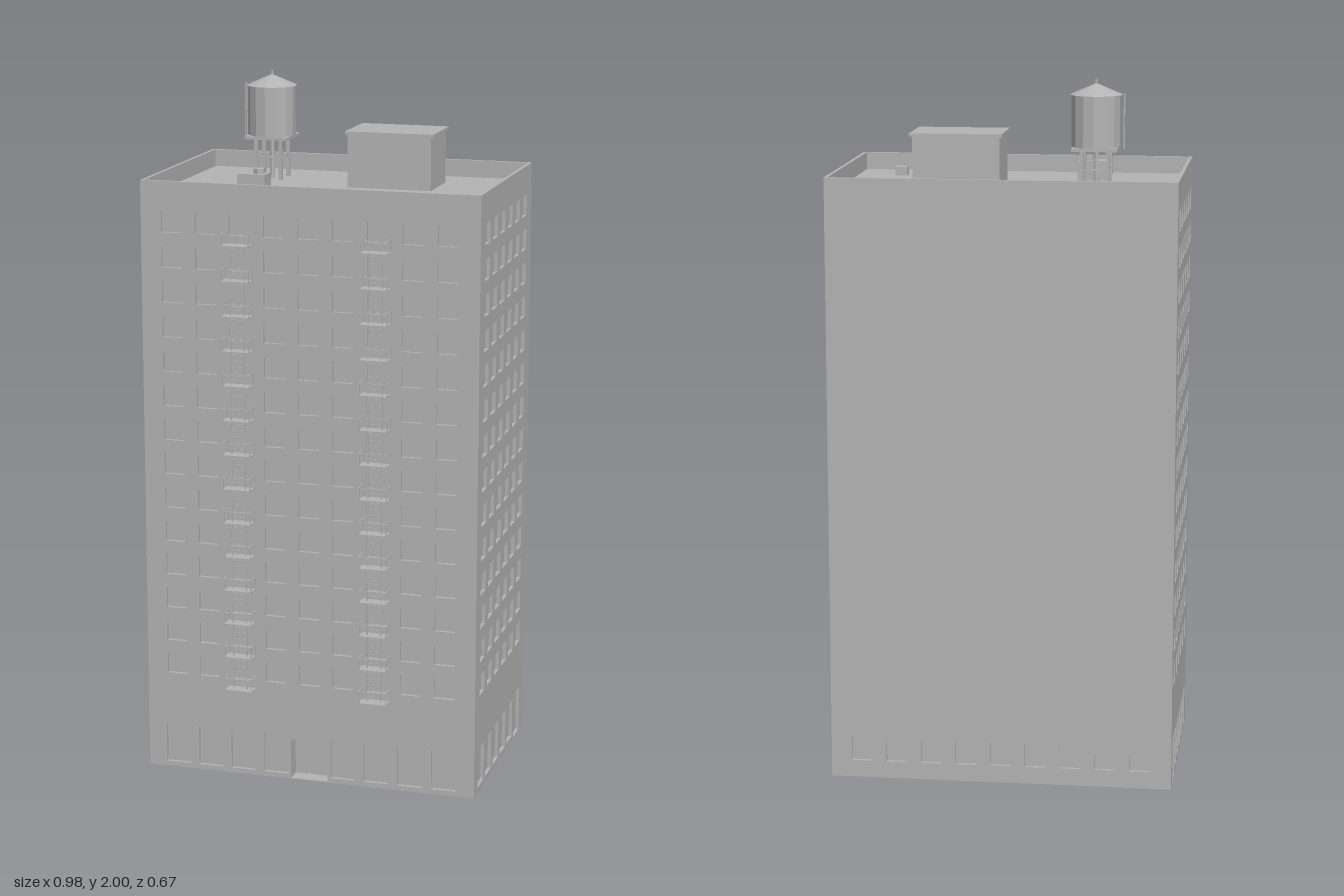
import * as THREE from 'three';

const concrete = new THREE.MeshStandardMaterial({ color: 0xb4b4b4, side: THREE.DoubleSide, flatShading: true });
concrete.name = 'concrete grey';

const X = 0.49, ZF = 0.295, ZB = -0.337, ZC = (ZF + ZB) / 2;
const TOP = 1.735, ROOF = 1.685, THICK = 0.01, FLOORS = 14;

function add(parent, name, geometry, x = 0, y = 0, z = 0) {
  const mesh = new THREE.Mesh(geometry, concrete);
  mesh.name = name;
  mesh.position.set(x, y, z);
  parent.add(mesh);
  return mesh;
}

// box given by its extents
function block(parent, name, x0, x1, y0, y1, z0, z1) {
  return add(parent, name, new THREE.BoxGeometry(x1 - x0, y1 - y0, z1 - z0),
    (x0 + x1) / 2, (y0 + y1) / 2, (z0 + z1) / 2);
}

function rectPath(path, [u, w, y0, y1]) {
  path.moveTo(u - w / 2, y0);
  path.lineTo(u + w / 2, y0);
  path.lineTo(u + w / 2, y1);
  path.lineTo(u - w / 2, y1);
  path.closePath();
  return path;
}

// wall with openings [centre, width, bottom, top]; its outer face is local z = 0
function wall(parent, name, width, openings, through = []) {
  const group = new THREE.Group();
  group.name = name;
  const face = rectPath(new THREE.Shape(), [0, width, 0, TOP]);
  face.holes = [...openings, ...through].map(o => rectPath(new THREE.Path(), o));
  add(group, 'wallWithOpenings', new THREE.ExtrudeGeometry(face, { depth: THICK, bevelEnabled: false }), 0, 0, -THICK);
  // panes closing the recesses
  const panes = rectPath(new THREE.Shape(), [0, width - 0.02, 0, ROOF]);
  panes.holes = through.map(o => rectPath(new THREE.Path(), o));
  add(group, 'windowPanes', new THREE.ShapeGeometry(panes), 0, 0, -THICK - 0.0005);
  parent.add(group);
  return group;
}

// rows of upper windows over the given column centres
function upperWindows(columns, width) {
  const list = [];
  for (let f = 0; f < FLOORS; f++)
    for (const u of columns) list.push([u, width, 0.29 + f * 0.1, 0.35 + f * 0.1]);
  return list;
}

function buildWalls(model) {
  const columns = Array.from({ length: 9 }, (_, i) => (i - 4) * 0.1);

  // front: shop windows, entrance and upper floors
  const shops = columns.filter((_, i) => i !== 4).map(u => [u, 0.073, 0.015, 0.13]);
  const front = wall(model, 'frontWall', 2 * X, [...shops, ...upperWindows(columns, 0.06)], [[0, 0.11, 0.003, 0.122]]);
  front.position.z = ZF;

  // back: one row of small windows
  const back = wall(model, 'backWall', 2 * X, columns.map(u => [u, 0.06, 0.05, 0.12]));
  back.position.z = ZB;
  back.rotation.y = Math.PI;

  // sides, mirrored, with a service door towards the back
  for (const s of [1, -1]) {
    const us = Array.from({ length: 6 }, (_, i) => -s * (0.212 - i * 0.0917 - ZC));
    const ground = us.map((u, i) => i < 5 ? [u, 0.073, 0.015, 0.13] : [u, 0.077, 0.003, 0.14]);
    const side = wall(model, s > 0 ? 'leftWall' : 'rightWall', ZF - ZB - 2 * THICK,
      [...ground, ...upperWindows(us, 0.06)]);
    side.position.set(s * X, 0, ZC);
    side.rotation.y = s * Math.PI / 2;
  }

  // entrance alcove
  const z0 = ZF - 0.045, z1 = ZF - THICK;
  block(model, 'entranceDoor', -0.058, 0.058, 0, 0.125, z0 - 0.003, z0);
  block(model, 'entranceFloor', -0.058, 0.058, 0, 0.003, z0, z1);
  block(model, 'entranceCeiling', -0.058, 0.058, 0.122, 0.125, z0, z1);
  for (const s of [-1, 1])
    add(model, 'entranceSide', new THREE.BoxGeometry(0.003, 0.119, z1 - z0), s * 0.0565, 0.0625, (z0 + z1) / 2);

  const roof = add(model, 'roof', new THREE.PlaneGeometry(2 * (X - THICK), ZF - ZB - 2 * THICK), 0, ROOF, ZC);
  roof.rotation.x = -Math.PI / 2;
}

// one balcony with slab, rails, posts and ladder
function balcony(parent, x, y, withLadder) {
  const g = new THREE.Group();
  g.name = 'fireEscapeBalcony';
  g.position.set(x, y, ZF);
  const w = 0.041, d = 0.04, t = 0.003, h = 0.038;
  block(g, 'platform', -w, w, 0, t, 0, d);
  block(g, 'frontRail', -w, w, h - t, h, d - t, d);
  for (const s of [-1, 1]) {
    add(g, 'sideRail', new THREE.BoxGeometry(t, t, d), s * (w - t / 2), h - t / 2, d / 2);
    for (const z of [t / 2, d - t / 2])
      add(g, 'post', new THREE.BoxGeometry(t, h, t), s * (w - t / 2), h / 2, z);
    if (withLadder)
      add(g, 'ladderRail', new THREE.BoxGeometry(t, 0.1, t), s * 0.02, 0.05, 0.02);
  }
  if (withLadder)
    for (let i = 1; i < 6; i++)
      add(g, 'ladderRung', new THREE.BoxGeometry(0.04, 0.002, 0.002), 0, i * 0.018, 0.02);
  parent.add(g);
}

function buildWaterTank(model) {
  const g = new THREE.Group();
  g.name = 'waterTank';
  g.position.set(-0.248, 0, -0.163);
  for (const x of [-0.037, 0.037])
    for (const z of [-0.037, 0.037])
      block(g, 'tankLeg', x - 0.005, x + 0.005, ROOF, 1.803, z - 0.005, z + 0.005);
  for (const s of [-0.037, 0.037]) {
    add(g, 'tankBrace', new THREE.BoxGeometry(0.09, 0.005, 0.005), 0, 1.75, s);
    add(g, 'tankBrace', new THREE.BoxGeometry(0.005, 0.005, 0.09), s, 1.75, 0);
  }
  add(g, 'drainPipe', new THREE.CylinderGeometry(0.008, 0.008, 1.805 - ROOF, 6), 0, (ROOF + 1.805) / 2, 0);
  block(g, 'tankPlatform', -0.064, 0.064, 1.803, 1.812, -0.064, 0.064);
  add(g, 'tankBody', new THREE.CylinderGeometry(0.069, 0.069, 0.146, 14), 0, 1.885, 0);
  add(g, 'tankRoof', new THREE.ConeGeometry(0.074, 0.032, 14), 0, 1.972, 0);
  add(g, 'finial', new THREE.CylinderGeometry(0.004, 0.004, 0.02, 6), 0, 1.99, 0);
  // ladder on the tank side
  for (const z of [-0.008, 0.008])
    block(g, 'tankLadderRail', -0.08, -0.077, 1.805, 1.96, z - 0.0015, z + 0.0015);
  for (let i = 0; i < 8; i++)
    add(g, 'tankLadderRung', new THREE.BoxGeometry(0.002, 0.002, 0.016), -0.0785, 1.82 + i * 0.018, 0);
  model.add(g);
}

function buildRoofEquipment(model) {
  block(model, 'stairHouse', 0.016, 0.262, ROOF, 1.839, -0.213, -0.042);
  block(model, 'stairHouseRoof', 0.01, 0.27, 1.838, 1.847, -0.22, -0.035);
  block(model, 'ventUnit', -0.253, -0.171, ROOF, 1.741, 0.09, 0.15);
  add(model, 'ventPipe', new THREE.CylinderGeometry(0.017, 0.017, 0.014, 6), -0.196, 1.748, 0.12);
  block(model, 'roofHatch', 0.334, 0.37, ROOF, 1.71, 0.14, 0.172);
}

export function createModel() {
  const model = new THREE.Group();
  model.name = 'apartmentBlock';
  buildWalls(model);
  for (const x of [-0.201, 0.199])
    for (let f = 0; f < FLOORS; f++) balcony(model, x, 0.265 + f * 0.1, f < FLOORS - 1);
  buildWaterTank(model);
  buildRoofEquipment(model);
  return model;
}
